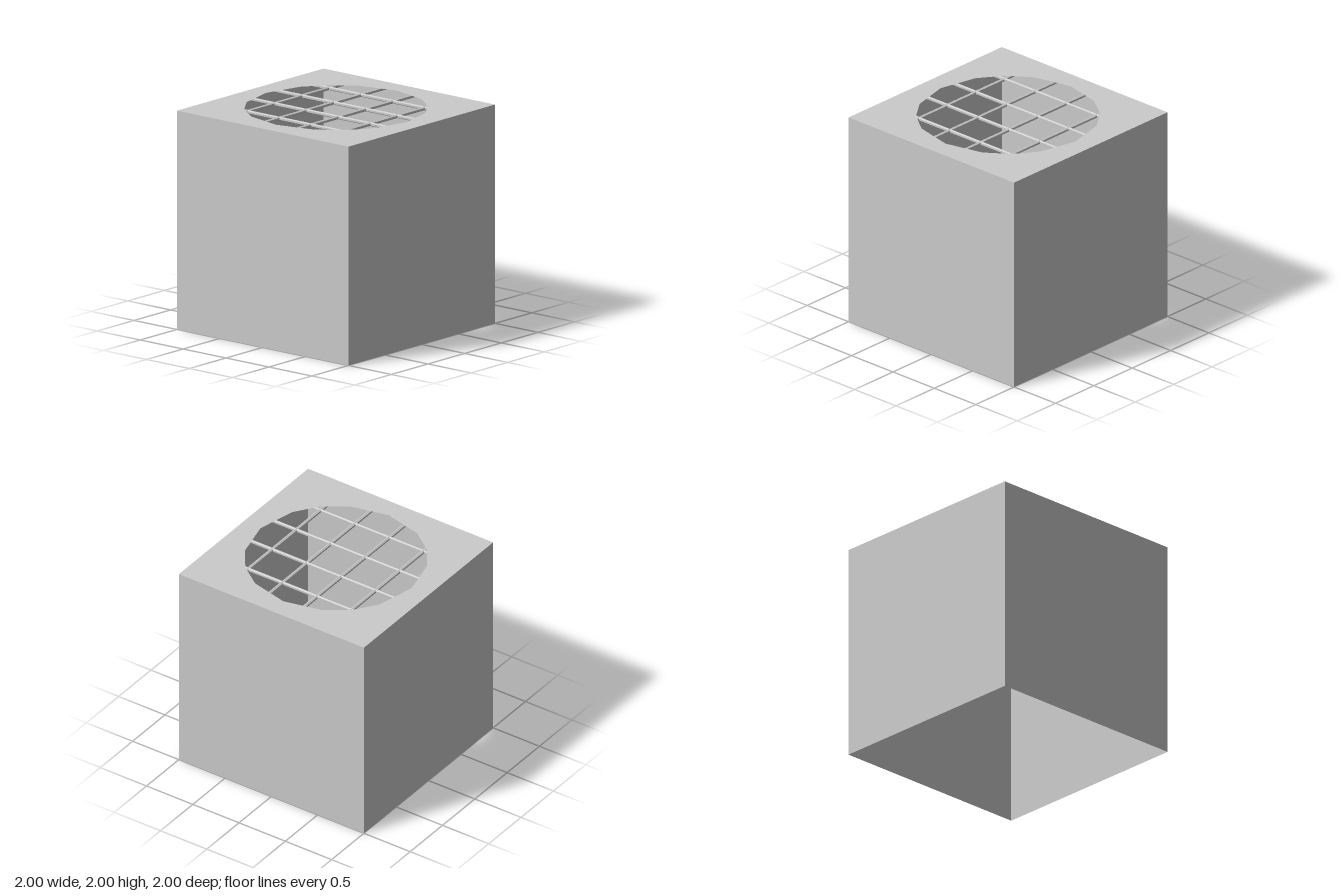
import * as THREE from 'three';

const SIZE = 2;
const HOLE_RADIUS = 0.816;
const BAR_SPACING = 0.372;
const BAR_RADIUS = 0.017;
const BAR_Y = 1.978;

export function createModel() {
  const model = new THREE.Group();
  const sheet = new THREE.MeshStandardMaterial({ color: 0xcccccc, flatShading: true, side: THREE.DoubleSide });
  const metal = new THREE.MeshStandardMaterial({ color: 0xcccccc, flatShading: true });

  // Four thin walls, open at the bottom
  const walls = new THREE.Group();
  walls.name = 'walls';
  ['frontWall', 'leftWall', 'backWall', 'rightWall'].forEach((name, i) => {
    const wall = new THREE.Mesh(new THREE.PlaneGeometry(SIZE, SIZE).translate(0, SIZE / 2, SIZE / 2), sheet);
    wall.rotation.y = i * Math.PI / 2;
    wall.name = name;
    walls.add(wall);
  });
  model.add(walls);

  // Top sheet with a 16-sided hole: points spaced along a square, pushed out to a circle
  const half = SIZE / 2;
  const top = new THREE.Shape([[-1, -1], [1, -1], [1, 1], [-1, 1]]
    .map(([x, y]) => new THREE.Vector2(x * half, y * half)));
  const rim = [];
  for (let side = 0; side < 4; side++) {
    for (let step = 0; step < 4; step++) {
      rim.push(new THREE.Vector2(1, -1 + step / 2).setLength(HOLE_RADIUS)
        .rotateAround(new THREE.Vector2(), side * Math.PI / 2));
    }
  }
  top.holes.push(new THREE.Path(rim.reverse()));
  const topSheet = new THREE.Mesh(new THREE.ShapeGeometry(top).rotateX(-Math.PI / 2), sheet);
  topSheet.position.y = SIZE;
  topSheet.name = 'topSheet';
  model.add(topSheet);

  // Grate of crossing bars just under the top, closed by its outermost bars
  const grate = new THREE.Group();
  grate.name = 'grate';
  const length = 5 * BAR_SPACING + 2 * BAR_RADIUS;
  const barGeometry = new THREE.CylinderGeometry(BAR_RADIUS, BAR_RADIUS, length, 6).rotateX(Math.PI / 2);
  for (let i = 0; i < 6; i++) {
    const offset = (i - 2.5) * BAR_SPACING;
    const lengthBar = new THREE.Mesh(barGeometry, metal);
    lengthBar.position.set(offset, BAR_Y, 0);
    lengthBar.name = 'lengthBar';
    const crossBar = new THREE.Mesh(barGeometry, metal);
    crossBar.position.set(0, BAR_Y, offset);
    crossBar.rotation.y = Math.PI / 2;
    crossBar.name = 'crossBar';
    grate.add(lengthBar, crossBar);
  }
  model.add(grate);

  return model;
}
